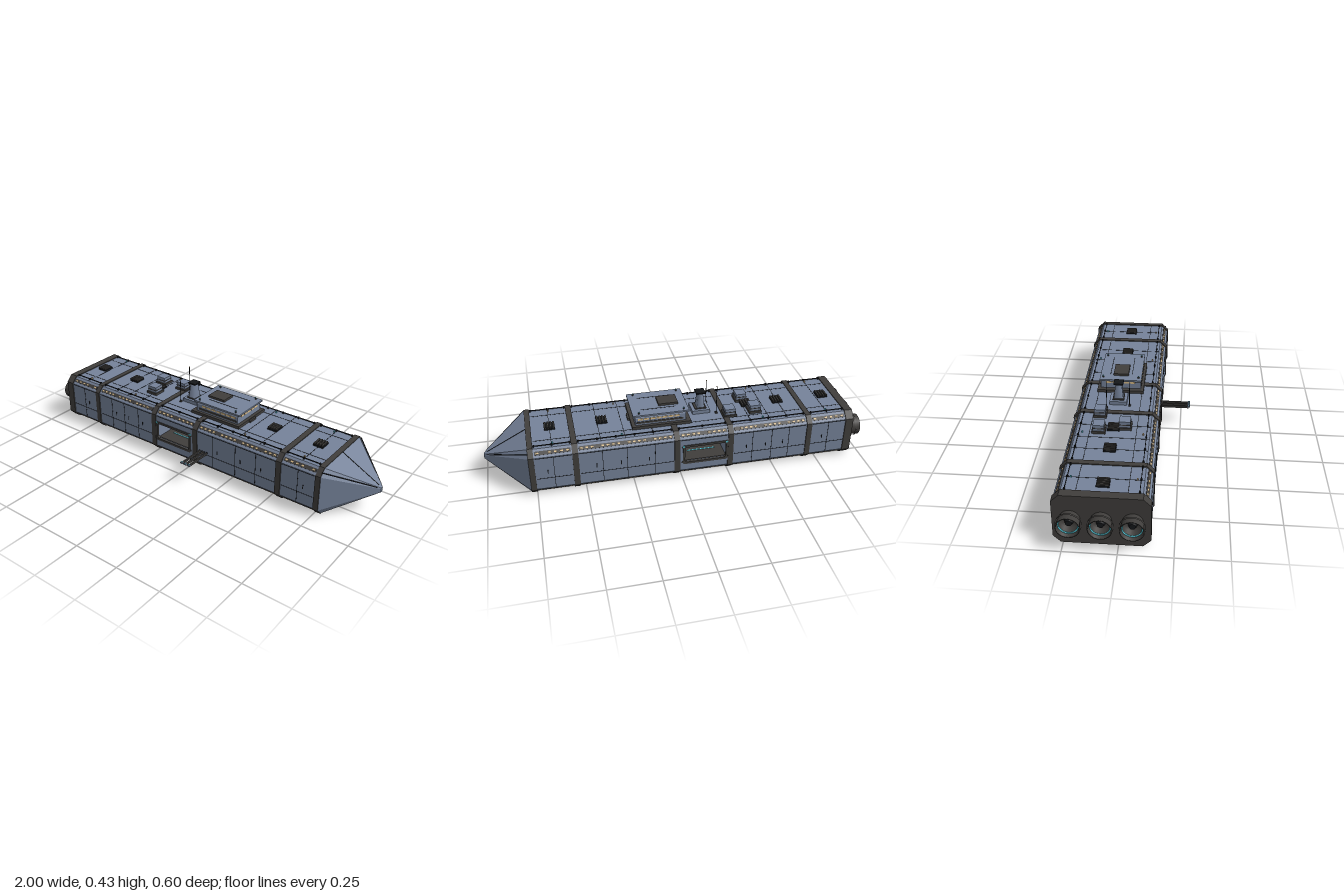
import * as THREE from 'three';

const ZC = -0.075; // hull centre line
const mat = (name, color, extra = {}) => Object.assign(new THREE.MeshStandardMaterial({ color, ...extra }), { name });

export function createModel() {
  const hullMat = mat('hull blue grey', 0x76839a);
  const dark = mat('frame charcoal', 0x403e3c);
  const black = mat('seam black', 0x15171a);
  const tan = mat('window amber', 0xd9bb88);
  const cyan = mat('light cyan', 0x55c4d4);

  const root = new THREE.Group();
  root.name = 'cargoShip';
  const hull = new THREE.Group(); // local z = 0 is the centre line
  hull.name = 'ship';
  hull.position.z = ZC;
  root.add(hull);

  const add = (name, geo, m, x = 0, y = 0, z = 0, parent = hull) => {
    const mesh = new THREE.Mesh(geo, m);
    mesh.name = name;
    mesh.position.set(x, y, z);
    parent.add(mesh);
    return mesh;
  };
  // box given by its limits on each axis
  const box = (name, m, x0, x1, y0, y1, z0, z1) =>
    add(name, new THREE.BoxGeometry(x1 - x0, y1 - y0, z1 - z0), m, (x0 + x1) / 2, (y0 + y1) / 2, (z0 + z1) / 2);
  // cross-section (z, y) extruded along x
  const prism = (name, m, pts, x0, x1) => {
    const g = new THREE.ExtrudeGeometry(new THREE.Shape(pts.map(p => new THREE.Vector2(...p))), { depth: x1 - x0, bevelEnabled: false });
    return add(name, g.rotateY(Math.PI / 2), m, x0);
  };
  const octagon = (w, y0, y1, c) => [
    [-w + c, y0], [w - c, y0], [w, y0 + c], [w, y1 - c], [w - c, y1], [-w + c, y1], [-w, y1 - c], [-w, y0 + c]];

  // Main hull around the open hangar
  const W = 0.216, Y0 = 0.004, Y1 = 0.263, C = 0.034;
  const HX0 = -0.24, HX1 = -0.01, HY0 = 0.085, HY1 = 0.185;
  const sec = octagon(W, Y0, Y1, C);
  prism('aftHull', hullMat, sec, -0.93, HX0);
  prism('foreHull', hullMat, sec, HX1, 0.775);
  prism('hangarFloor', hullMat, [sec[0], sec[1], sec[2], [W, HY0], [-W, HY0], sec[7]], HX0, HX1);
  prism('hangarRoof', hullMat, [[-W, HY1], [W, HY1], sec[3], sec[4], sec[5], sec[6]], HX0, HX1);

  // Frames around the hull
  const ribs = [[-0.938, -0.895], [-0.705, -0.677], [-0.275, -0.246], [0.01, 0.04], [0.53, 0.56], [0.75, 0.778]];
  ribs.forEach(([a, b]) => prism('hullFrame', dark, octagon(0.221, 0, 0.268, 0.036), a, b));

  // Faceted nose
  const base = octagon(0.218, 0.002, 0.265, 0.035);
  const tip = octagon(0.01, 0.122, 0.147, 0.003);
  const pos = [];
  for (let i = 0; i < 8; i++) {
    const j = (i + 1) % 8;
    const a = [0.777, base[i][1], -base[i][0]], b = [0.777, base[j][1], -base[j][0]];
    const c = [1, tip[j][1], -tip[j][0]], d = [1, tip[i][1], -tip[i][0]];
    pos.push(...a, ...b, ...c, ...a, ...c, ...d, ...d, ...c, 1, 0.1345, 0);
  }
  const noseGeo = new THREE.BufferGeometry();
  noseGeo.setAttribute('position', new THREE.Float32BufferAttribute(pos, 3));
  noseGeo.computeVertexNormals();
  add('nose', noseGeo, hullMat);
  [[0, 0.265], [0, 0.002], [0.206, 0.25], [-0.206, 0.25]].forEach(([z, y]) => {
    const a = new THREE.Vector3(0.777, y, z), b = new THREE.Vector3(0.985, 0.1345 + (y - 0.1345) * 0.15, z * 0.1);
    const strip = add('noseSeam', new THREE.BoxGeometry(0.004, 0.004, a.distanceTo(b)), black);
    strip.position.copy(a).add(b).multiplyScalar(0.5);
    root.updateMatrixWorld(true);
    strip.lookAt(hull.localToWorld(b.clone()));
  });

  // Panel seams, lit edge strips and deck rails on each hull bay
  const bays = [[-0.89, -0.71], [-0.67, -0.28], [-0.24, 0.005], [0.045, 0.525], [0.565, 0.745]];
  const t = 0.001, s = 0.0013;
  bays.forEach(([a, b], bay) => {
    const hangar = bay === 2;
    for (const side of [-1, 1]) {
      const sideSeam = (x0, x1, y0, y1) => box('sideSeam', black, x0, x1, y0, y1, side * W - t, side * W + t);
      sideSeam(a, b, 0.223, 0.223 + 2 * s);
      if (!hangar) sideSeam(a, b, 0.1, 0.1 + 2 * s);
      box('deckRail', black, a, b, 0.267, 0.271, side * 0.166 - 0.0015, side * 0.166 + 0.0015);
      const n = Math.max(2, Math.round((b - a) / 0.1));
      for (let i = 0; i <= n; i++) {
        const x = a + (b - a) * i / n;
        box('railPost', black, x - 0.004, x + 0.004, 0.262, 0.273, side * 0.166 - 0.004, side * 0.166 + 0.004);
      }
      // chamfer strips with small windows
      for (const top of [1, -1]) {
        const y = top > 0 ? Y1 - C / 2 : Y0 + C / 2;
        const g = new THREE.Group();
        g.name = 'edgeStrip';
        g.position.set(0, y, side * (W - C / 2));
        g.rotation.x = side * top * Math.PI / 4 + (top < 0 ? Math.PI : 0);
        hull.add(g);
        add('stripBacking', new THREE.BoxGeometry(b - a, 0.004, 0.02), dark, (a + b) / 2, 0, 0, g);
        const count = Math.floor((b - a) / 0.026);
        for (let i = 0; i < count; i++) {
          if (i % 5 === 4) continue;
          add('edgeWindow', new THREE.BoxGeometry(0.013, 0.002, 0.007), tan, a + (i + 0.5) * (b - a) / count, 0.002, 0, g);
        }
      }
    }
    for (const z of [-0.115, 0, 0.115]) {
      box('bellySeam', black, a, b, Y0 - t, Y0 + t, z - s, z + s);
      if (z) box('deckSeam', black, a, b, Y1 - t, Y1 + t, z - s, z + s);
    }
  });
  for (const x of [-0.8, -0.58, -0.485, -0.38, 0.14, 0.285, 0.41, 0.655]) {
    for (const side of [-1, 1]) {
      box('sideSeam', black, x - s, x + s, 0.04, 0.228, side * W - t, side * W + t);
      box('sideSlot', black, x + 0.03, x + 0.034, 0.128, 0.15, side * W - 0.002, side * W + 0.002);
    }
    box('deckSeam', black, x - s, x + s, Y1 - t, Y1 + t, -W + C, W - C);
    box('bellySeam', black, x - s, x + s, Y0 - t, Y0 + t, -W + C, W - C);
  }
  for (let i = 0; i < 4; i++) box('sidePort', black, 0.052 + i * 0.016, 0.06 + i * 0.016, 0.112, 0.118, W - t, W + 0.002);

  // Hangar frames, braces, lights and hoist
  for (const side of [-1, 1]) {
    const z0 = side * 0.214 - 0.006, z1 = side * 0.214 + 0.006;
    box('hangarSill', dark, HX0, HX1, HY0 - 0.008, HY0 + 0.004, z0, z1);
    box('hangarLintel', dark, HX0, HX1, HY1 - 0.004, HY1 + 0.008, z0, z1);
    for (const x of [HX0, HX1]) {
      box('hangarJamb', dark, x - 0.006, x + 0.005, HY0, HY1, z0, z1);
      for (const y of [HY0 + 0.005, HY1 - 0.005])
        add('hangarCorner', new THREE.BoxGeometry(0.018, 0.018, 0.014), dark, x, y, side * 0.212).rotation.z = Math.PI / 4;
      box('hangarLight', cyan, x - 0.004, x + 0.007, 0.184, 0.192, side * 0.219 - 0.003, side * 0.219 + 0.003);
    }
  }
  box('hangarDeck', dark, HX0, HX1, HY0, HY0 + 0.003, -0.2, 0.2);
  for (const z of [-0.12, 0, 0.12]) {
    box('deckLight', cyan, -0.2, -0.05, HY0 + 0.002, HY0 + 0.005, z - 0.003, z + 0.003);
    box('ceilingBeam', dark, HX0, HX1, HY1 - 0.006, HY1, z - 0.008, z + 0.008);
  }
  box('hoist', dark, -0.16, -0.11, 0.167, HY1, -0.03, 0.03);
  box('deckCrate', dark, -0.05, -0.015, HY0, 0.1, -0.06, -0.02);

  // Docking rails out of the front side
  [0.057, 0.08, 0.102].forEach(x => {
    box('dockingRail', dark, x - 0.004, x + 0.004, 0.105, 0.116, 0.21, 0.367);
    box('railTip', hullMat, x - 0.006, x + 0.006, 0.111, 0.119, 0.362, 0.375);
    box('railLight', cyan, x - 0.003, x + 0.003, 0.118, 0.121, 0.366, 0.372);
  });

  // Engines
  const bell = [[0.046, 0], [0.05, 0.03], [0.056, 0.07], [0.05, 0.07], [0.042, 0.02], [0, 0.02]].map(p => new THREE.Vector2(...p));
  for (const z of [-0.14, 0, 0.14]) {
    const g = new THREE.Group();
    g.name = 'engine';
    g.position.set(-0.93, 0.14, z);
    g.rotation.z = Math.PI / 2;
    hull.add(g);
    add('engineBell', new THREE.LatheGeometry(bell, 24), mats(dark), 0, 0, 0, g);
    add('engineRing', new THREE.TorusGeometry(0.045, 0.004, 6, 24).rotateX(Math.PI / 2), cyan, 0, 0.05, 0, g);
    add('engineBand', new THREE.CylinderGeometry(0.059, 0.059, 0.01, 24, 1, true), mats(dark), 0, 0.045, 0, g);
    add('engineCore', new THREE.CylinderGeometry(0.015, 0.022, 0.02, 16), black, 0, 0.03, 0, g);
  }
  function mats(m) { m.side = THREE.DoubleSide; return m; }

  // Bridge
  box('bridgeBase', dark, -0.07, 0.24, 0.262, 0.279, -0.123, 0.123);
  box('bridgeStep', dark, 0.22, 0.25, 0.262, 0.274, -0.028, 0.028);
  prism('bridgeBody', hullMat, [[-0.107, 0.278], [0.107, 0.278], [0.107, 0.318], [0.1, 0.332], [-0.1, 0.332], [-0.107, 0.318]], -0.045, 0.222);
  box('bridgeRoof', hullMat, -0.062, 0.234, 0.33, 0.338, -0.111, 0.111);
  box('roofTrim', dark, -0.06, 0.232, 0.327, 0.331, -0.109, 0.109);
  for (let i = 0; i < 5; i++) {
    const z = (i - 2) * 0.031;
    for (const x of [-0.045, 0.222]) box('bridgeWindow', tan, x - 0.002, x + 0.002, 0.309, 0.319, z - 0.013, z + 0.013);
  }
  for (const side of [-1, 1]) {
    for (let i = 0; i < 7; i++) box('bridgeWindow', tan, -0.01 + i * 0.032, 0.016 + i * 0.032, 0.307, 0.317, side * 0.107 - 0.002, side * 0.107 + 0.002);
    box('bridgeSideBand', dark, -0.03, 0.215, 0.288, 0.298, side * 0.107 - 0.003, side * 0.107 + 0.003);
    box('roofSeam', black, 0, 0.185, 0.337, 0.339, side * 0.058 - 0.0015, side * 0.058 + 0.0015);
    for (const x of [-0.035, 0.2]) {
      add('roofLampPost', new THREE.CylinderGeometry(0.004, 0.005, 0.008, 8), dark, x, 0.342, side * 0.094);
      add('roofLamp', new THREE.SphereGeometry(0.0035, 8, 6), cyan, x, 0.347, side * 0.094);
    }
  }
  box('roofHatch', dark, -0.017, 0.087, 0.337, 0.35, -0.04, 0.04);

  // Sensor tower, leaning back from its base
  box('towerBase', hullMat, -0.19, -0.095, 0.262, 0.283, -0.045, 0.045);
  box('towerPlinth', dark, -0.175, -0.112, 0.282, 0.288, -0.03, 0.03);
  const tower = add('towerMast', new THREE.CylinderGeometry(0.018, 0.03, 0.09, 4).rotateY(Math.PI / 4), hullMat, -0.145, 0.327, 0);
  tower.scale.z = 1.2;
  box('towerTop', black, -0.17, -0.12, 0.37, 0.377, -0.025, 0.025);
  [[-0.222, 0.427, -0.055], [-0.195, 0.402, 0.06]].forEach(([x, y, z]) => {
    add('antenna', new THREE.CylinderGeometry(0.0016, 0.002, y - 0.262, 6), black, x, (y + 0.262) / 2, z);
    add('antennaTip', new THREE.SphereGeometry(0.003, 8, 6), tan, x, y - 0.002, z);
    box('antennaFoot', dark, x - 0.006, x + 0.006, 0.262, 0.27, z - 0.006, z + 0.006);
  });

  // Deck lockers
  [[-0.425, -0.07], [-0.285, -0.08], [-0.385, 0.055]].forEach(([x, z]) => {
    box('lockerPlinth', dark, x - 0.034, x + 0.034, 0.262, 0.276, z - 0.034, z + 0.034);
    box('locker', hullMat, x - 0.028, x + 0.028, 0.275, 0.308, z - 0.028, z + 0.028);
    box('lockerBand', dark, x - 0.03, x + 0.03, 0.288, 0.292, z - 0.03, z + 0.03);
  });

  // Slatted deck vents
  for (const x of [-0.835, -0.575, -0.4, 0.385, 0.655]) {
    box('ventBase', black, x - 0.028, x + 0.028, 0.262, 0.272, -0.03, 0.03);
    for (let i = 0; i < 4; i++) box('ventSlat', dark, x - 0.026 + i * 0.0145, x - 0.018 + i * 0.0145, 0.271, 0.279, -0.028, 0.028);
  }

  // Deck marker lights
  for (const x of [-0.8, -0.45, 0.3, 0.65]) {
    box('markerLight', cyan, x - 0.003, x + 0.003, 0.262, 0.272, -0.153, -0.147);
    box('markerLight', tan, x - 0.003, x + 0.003, 0.262, 0.272, 0.147, 0.153);
  }
  return root;
}
